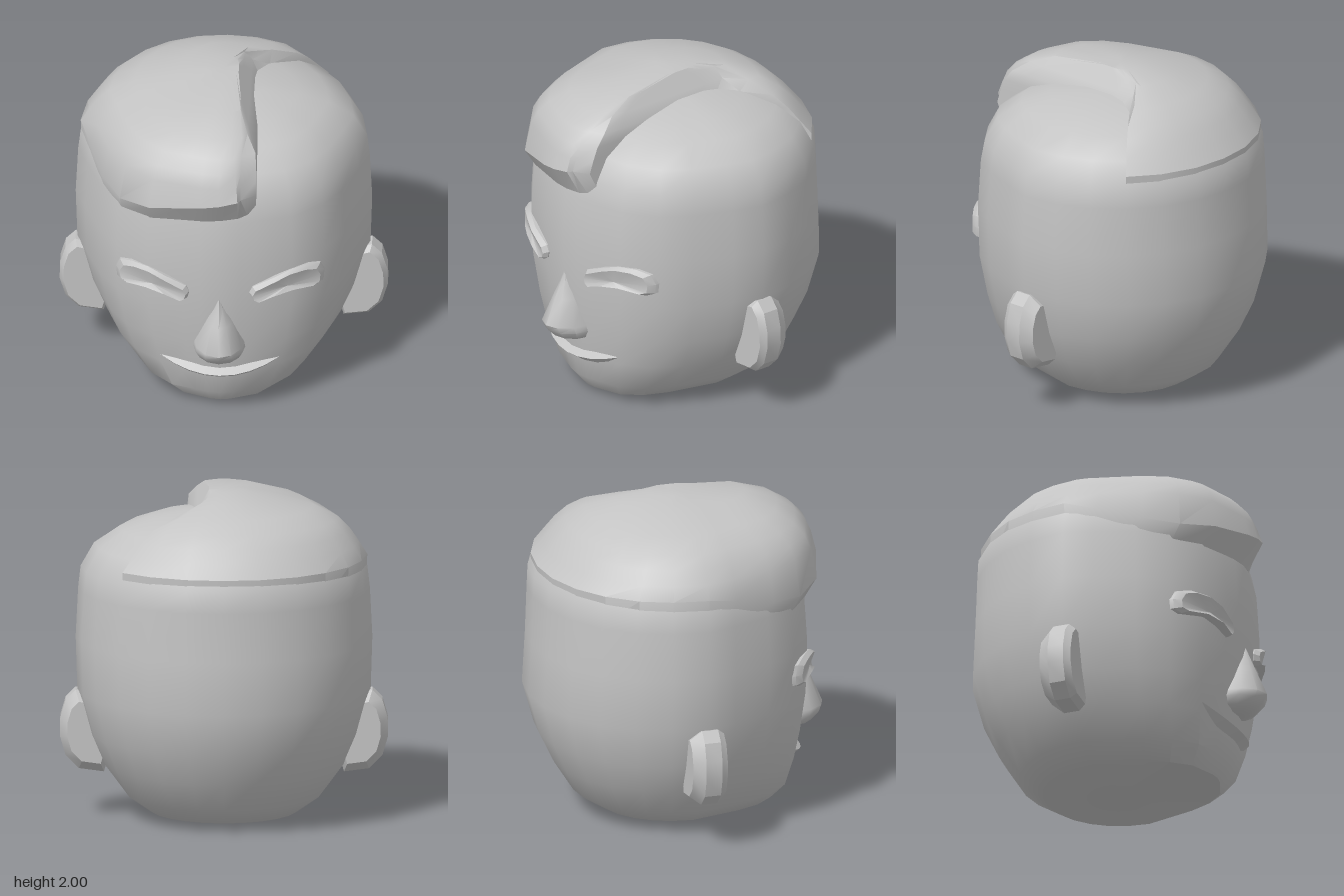
import * as THREE from 'three';
import { toCreasedNormals } from 'three/addons/utils/BufferGeometryUtils.js';

const grey = new THREE.MeshStandardMaterial({ color: 0xc4c4c4 });
grey.name = 'plain grey';

// Skin a stack of loops (arrays of [x, y, z]); closed loops get end caps.
function loft(name, loops, { closed = true, crease = 0.65 } = {}) {
  const pos = [];
  const tri = (...p) => p.forEach((v) => pos.push(...v));
  const n = loops[0].length;
  const sides = closed ? n : n - 1;
  for (let i = 0; i < loops.length - 1; i++) {
    for (let j = 0; j < sides; j++) {
      const k = (j + 1) % n;
      const a = loops[i][j], b = loops[i][k], c = loops[i + 1][k], d = loops[i + 1][j];
      tri(a, b, c);
      tri(a, c, d);
    }
  }
  if (closed) {
    const middle = (loop) => [0, 1, 2].map((m) => loop.reduce((s, p) => s + p[m], 0) / n);
    const low = loops[0], high = loops[loops.length - 1];
    const cl = middle(low), ch = middle(high);
    for (let j = 0; j < n; j++) {
      const k = (j + 1) % n;
      tri(cl, low[k], low[j]);
      tri(ch, high[j], high[k]);
    }
  }
  const g = new THREE.BufferGeometry();
  g.setAttribute('position', new THREE.Float32BufferAttribute(pos, 3));
  const mesh = new THREE.Mesh(toCreasedNormals(g, crease), grey);
  mesh.name = name;
  return mesh;
}

// Head cross-section, front centre round to back centre, then mirrored.
const half = [[0, 1], [0.13, 0.985], [0.25, 0.95], [0.49, 0.88], [0.7, 0.7], [0.83, 0.47], [0.93, 0.17], [1, -0.05],
  [0.96, -0.3], [0.87, -0.52], [0.71, -0.72], [0.51, -0.87], [0.26, -0.97], [0, -1]];
const section = [...half, ...half.slice(1, -1).reverse().map(([u, v]) => [-u, v])];
const ring = ([y, w, zf, zb]) => section.map(([u, v]) => [u * w, y, v * (v > 0 ? zf : zb)]);

// Head: [height, half width, front depth, back depth]
function makeHead() {
  return loft('head', [
    [0.005, 0.03, 0.05, 0.03], [0.04, 0.45, 0.6, 0.49], [0.14, 0.59, 0.68, 0.64], [0.33, 0.73, 0.72, 0.76],
    [0.52, 0.81, 0.75, 0.85], [0.78, 0.88, 0.78, 0.92], [1.1, 0.89, 0.79, 0.9], [1.4, 0.875, 0.77, 0.89],
    [1.53, 0.86, 0.74, 0.885], [1.67, 0.78, 0.67, 0.8], [1.77, 0.63, 0.53, 0.66], [1.83, 0.45, 0.36, 0.46],
    [1.87, 0.24, 0.11, 0.2],
  ].map(ring));
}

// Swept hair: a larger dome cut off along a slanted parting on the left
function makeHair() {
  const rows = [
    [1.43, 0.85, 0.765, 0.86], [1.6, 0.86, 0.86, 0.865], [1.68, 0.81, 0.83, 0.8], [1.76, 0.755, 0.795, 0.735],
    [1.83, 0.685, 0.73, 0.66], [1.9, 0.54, 0.62, 0.55], [1.965, 0.27, 0.43, 0.37], [2, 0.11, 0.04, 0.17],
  ];
  return loft('sweptHair', rows.map((row, i) => ring(row).map(([x, y, z], j) => {
    const [u, v] = section[j];
    let limit = 0.22 - 0.72 * Math.max(0, y - 1.82);
    if (u < 0.3 && v > 0) limit = Math.min(limit, i === 0 ? 0.17 : 0.13);
    limit += 1.2 * Math.max(0, -0.3 - z);
    // the fringe edge slopes down toward the right temple
    if (i < 2 && v > 0) y -= (i ? 0.19 : 0.12) * Math.max(0, 0.12 - x) * Math.min(1, v * 1.5);
    return [Math.min(x, limit), y, z];
  })));
}

// Mirror loops to either side while keeping the faces outward
const onSide = (loops, s) => (s > 0 ? loops : loops.map((l) => l.map(([x, y, z]) => [-x, y, z]).reverse()));

// Grow or shrink a 2D outline around a centre
const scaled = (pts, cx, cy, k) => pts.map(([x, y]) => [cx + (x - cx) * k, cy + (y - cy) * k]);

// Ear: teardrop outline with a flat front and bevelled back
function makeEar(s) {
  const outline = [[0.68, 0.42], [0.72, 0.28], [0.87, 0.3], [0.95, 0.38], [0.985, 0.5], [0.982, 0.61],
    [0.95, 0.72], [0.89, 0.78], [0.78, 0.75]];
  const layers = [[-0.17, 0.76], [-0.1, 1], [0, 1], [0.04, 0.87]];
  const loops = layers.map(([z, k]) => scaled(outline, 0.8, 0.53, k).map(([x, y]) => [x, y, z]));
  return loft(s > 0 ? 'leftEar' : 'rightEar', onSide(loops, s), { crease: 0.5 });
}

// Eye: arched pad following the curve of the face
function makeEye(s) {
  const outline = [[0.22, 0.85], [0.32, 0.885], [0.45, 0.9], [0.58, 0.88], [0.62, 0.9], [0.625, 0.96], [0.6, 1.02],
    [0.53, 1.045], [0.43, 1.045], [0.33, 1.01], [0.2, 0.95], [0.18, 0.91], [0.19, 0.87]];
  const face = (x) => {
    const d = Math.max(0, x - 0.28);
    return 0.79 - 0.25 * d - 0.9 * d * d;
  };
  const arch = (x) => 0.955 - 0.9 * (x - 0.5) ** 2;
  const layers = [[-0.12, 1], [-0.03, 1], [0, 0.8]];
  const loops = layers.map(([dz, k]) => outline.map(([x, y]) => {
    const px = 0.4 + (x - 0.4) * (0.5 + k / 2);
    return [px, arch(x) + (y - arch(x)) * k, face(px) + dz];
  }));
  return loft(s > 0 ? 'leftEye' : 'rightEye', onSide(loops, s), { crease: 0.5 });
}

// Nose: tapering half-round wedge, [height, half width, front]
function makeNose() {
  const rows = [[0.425, 0.08, 0.79], [0.45, 0.135, 0.85], [0.5, 0.16, 0.9], [0.54, 0.155, 0.92],
    [0.7, 0.09, 0.852], [0.8, 0.045, 0.81], [0.885, 0.008, 0.775]];
  return loft('nose', rows.map(([y, w, zf]) => Array.from({ length: 12 }, (_, i) => {
    const a = (i / 12) * Math.PI * 2;
    const c = Math.cos(a);
    return [Math.sin(a) * w, y, 0.7 + c * (c > 0 ? zf - 0.7 : 0.05)];
  })), { crease: 0.8 });
}

// Mouth: crescent lower lip with an upturned ledge
function makeMouth() {
  const rows = [[0.25, 0.135, 0.68, 0.04], [0.31, 0.075, 0.76, 0.12], [0.37, 0.015, 0.69, 0.05]];
  const us = [-1, -0.75, -0.5, -0.25, 0, 0.25, 0.5, 0.75, 1];
  return loft('mouth', rows.map(([y, dy, z, dz]) => us.map((u) => [u * 0.365, y + dy * u * u, z - dz * u * u])),
    { closed: false, crease: 0.5 });
}

export function createModel() {
  const model = new THREE.Group();
  model.name = 'cartoonHead';
  model.add(makeHead(), makeHair(), makeNose(), makeMouth());
  for (const s of [1, -1]) model.add(makeEar(s), makeEye(s));
  return model;
}
